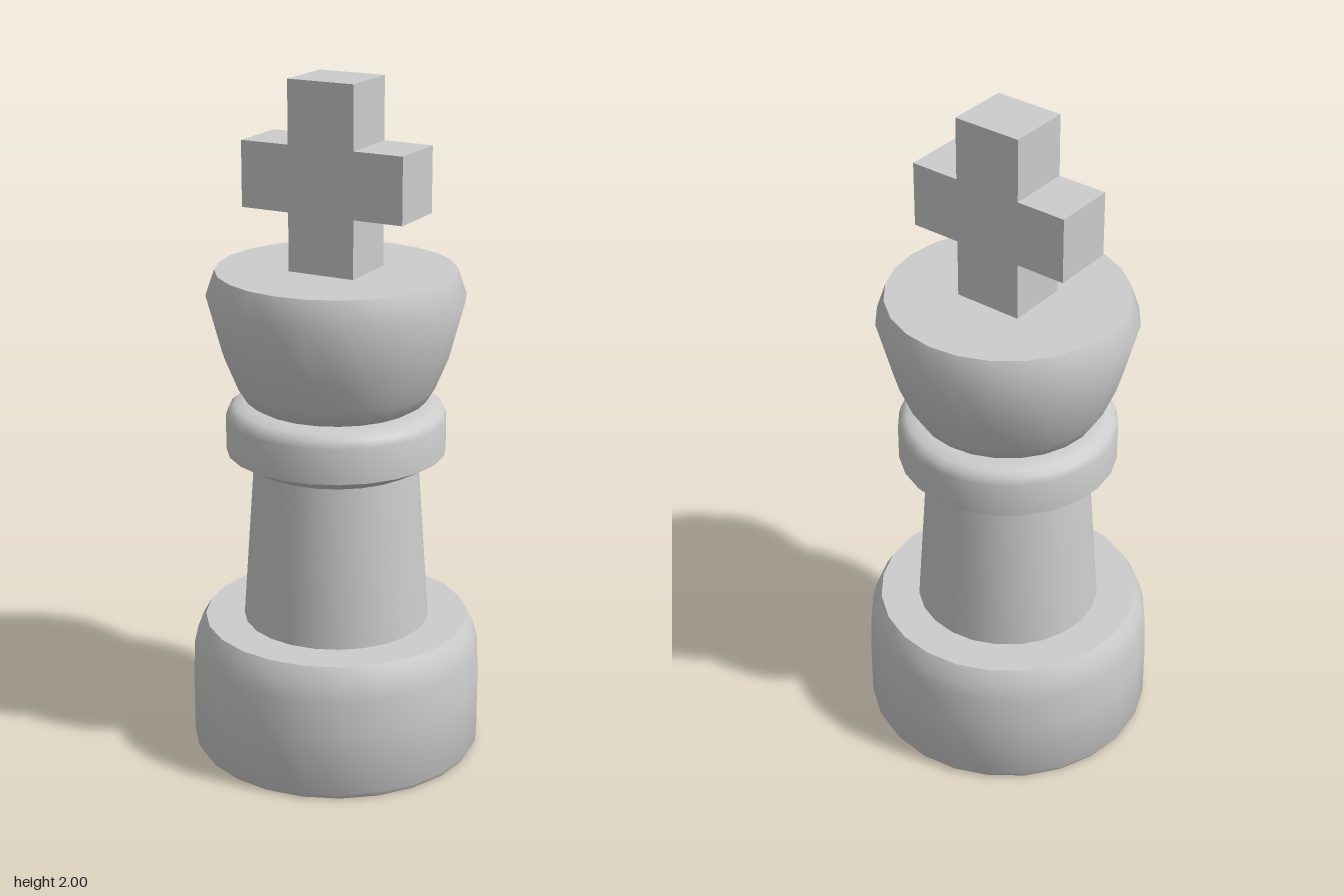
import * as THREE from 'three';
import { toCreasedNormals } from 'three/addons/utils/BufferGeometryUtils.js';

export function createModel() {
  const model = new THREE.Group();
  model.name = 'chessKing';
  const stone = new THREE.MeshStandardMaterial({ color: 0xcccccc });
  stone.name = 'paleGrey';

  const add = (name, geometry) => {
    const mesh = new THREE.Mesh(geometry, stone);
    mesh.name = name;
    model.add(mesh);
  };

  // Turned parts: [radius, height] pairs from bottom to top, 24 sides
  const turned = (name, profile) => {
    const points = profile.map(([r, y]) => new THREE.Vector2(r, y));
    add(name, toCreasedNormals(new THREE.LatheGeometry(points, 24), 0.72));
  };

  turned('base', [[0, 0], [0.42, 0], [0.43, 0.018], [0.43, 0.2], [0.425, 0.31],
    [0.413, 0.36], [0.39, 0.4], [0, 0.4]]);
  turned('stem', [[0.275, 0.39], [0.24, 0.89]]);
  turned('collar', [[0, 0.883], [0.25, 0.883], [0.32, 0.922], [0.32, 1.025],
    [0.313, 1.046], [0.295, 1.06], [0.265, 1.066], [0, 1.066]]);
  turned('head', [[0, 1.062], [0.235, 1.062], [0.264, 1.08], [0.29, 1.122], [0.328, 1.215],
    [0.372, 1.382], [0.346, 1.458], [0, 1.458]]);

  // Cross finial, cut from one outline
  const w = 0.103, a = 0.253, low = 1.627, high = 1.818;
  const half = [[w, 1.45], [w, low], [a, low], [a, high], [w, high], [w, 2]];
  const outline = [...half, ...half.map(([x, y]) => [-x, y]).reverse()];
  const shape = new THREE.Shape(outline.map(([x, y]) => new THREE.Vector2(x, y)));
  const cross = new THREE.ExtrudeGeometry(shape, { depth: 0.184, bevelEnabled: false });
  cross.translate(0, 0, -0.092);
  add('cross', cross);

  return model;
}
